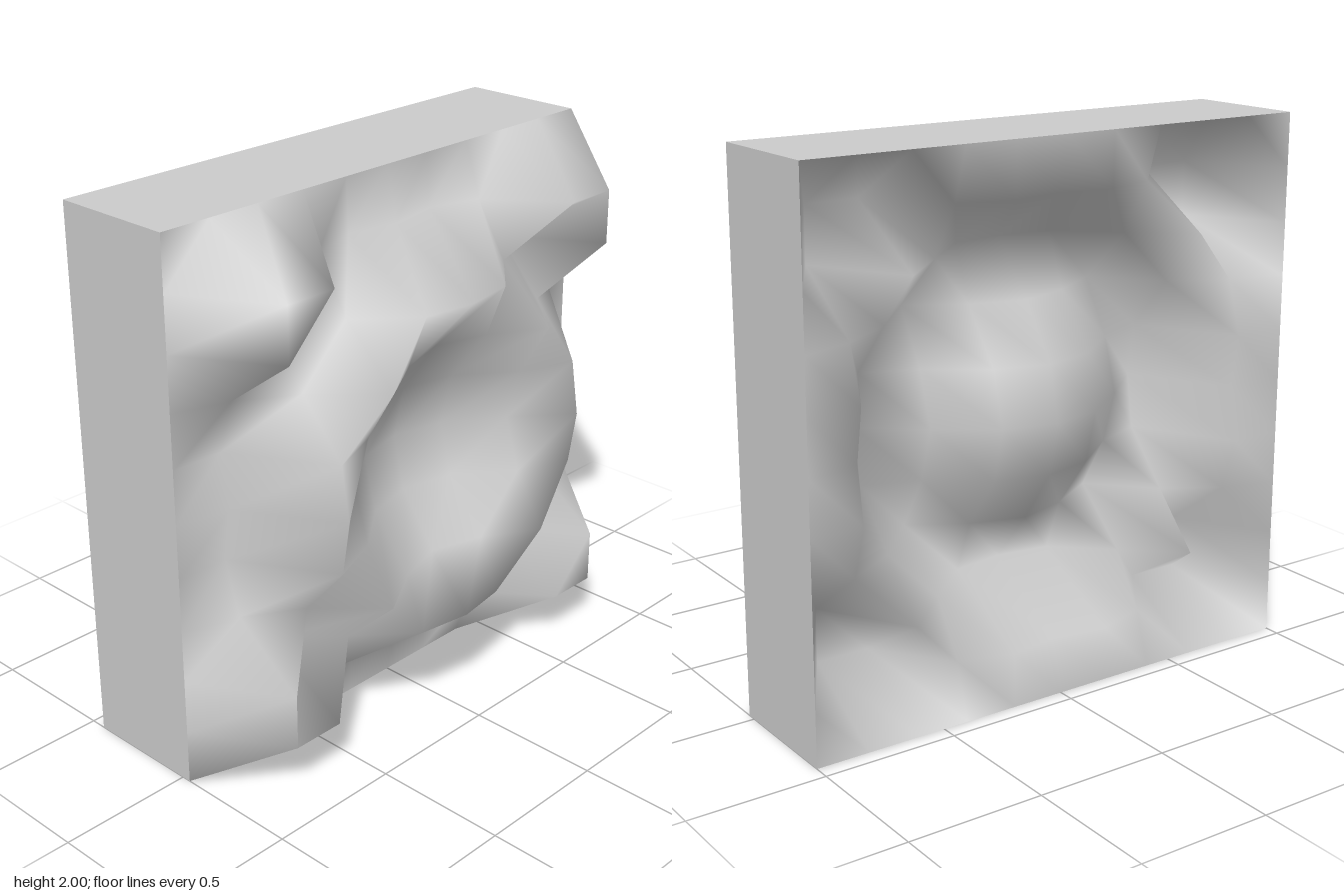
import * as THREE from 'three';

const N = 10;            // cells per side
const CELL = 0.2;
const FRONT_Z = 0.035;   // rim of the front face
const BACK_Z = -0.44;    // rim of the back face

// Ripple relief: [distance from the centre, height above the rim]
const RIPPLE = [
  [0, 0.035], [0.2, 0.08], [0.283, 0.13], [0.4, 0.225], [0.447, 0.285],
  [0.566, 0.405], [0.6, 0.395], [0.632, 0.365], [0.721, 0.188], [0.8, 0.038],
  [0.825, 0.005], [0.849, 0.005], [0.894, 0.065], [1, 0.34], [1.132, 0.34],
];

function rippleHeight(r) {
  for (let k = 1; k < RIPPLE.length; k++) {
    const [r0, h0] = RIPPLE[k - 1];
    const [r1, h1] = RIPPLE[k];
    if (r <= r1) return THREE.MathUtils.mapLinear(r, r0, r1, h0, h1);
  }
  return RIPPLE[RIPPLE.length - 1][1];
}

// Square sheet with the relief; its edge stays flat at the rim
function rippleSheet(rimZ, facesBack) {
  const positions = [];
  const index = [];
  for (let j = 0; j <= N; j++) {
    for (let i = 0; i <= N; i++) {
      const x = (i - N / 2) * CELL;
      const y = (j - N / 2) * CELL;
      const onRim = i === 0 || j === 0 || i === N || j === N;
      const h = onRim ? 0 : rippleHeight(Math.hypot(x, y));
      positions.push(x, y + 1, rimZ + h);
    }
  }
  for (let j = 0; j < N; j++) {
    for (let i = 0; i < N; i++) {
      const a = j * (N + 1) + i;
      const b = a + 1;
      const c = b + N + 1;
      const d = a + N + 1;
      // every cell is split from lower left to upper right
      if (facesBack) index.push(a, c, b, a, d, c);
      else index.push(a, b, c, a, c, d);
    }
  }
  const geometry = new THREE.BufferGeometry();
  geometry.setAttribute('position', new THREE.Float32BufferAttribute(positions, 3));
  geometry.setIndex(index);
  geometry.computeVertexNormals();
  return geometry;
}

export function createModel() {
  const group = new THREE.Group();
  group.name = 'rippledPanel';
  const material = new THREE.MeshStandardMaterial({ color: 0xcccccc });

  const add = (name, geometry) => {
    const mesh = new THREE.Mesh(geometry, material);
    mesh.name = name;
    group.add(mesh);
  };

  // Matching relief on both faces, so the panel keeps its thickness
  add('frontRelief', rippleSheet(FRONT_Z, false));
  add('backRelief', rippleSheet(BACK_Z, true));

  // Four flat edge walls, turned around the panel's axis
  const depth = FRONT_Z - BACK_Z;
  ['topWall', 'leftWall', 'bottomWall', 'rightWall'].forEach((name, k) => {
    const wall = new THREE.PlaneGeometry(2, depth);
    wall.rotateX(-Math.PI / 2);
    wall.translate(0, 1, (FRONT_Z + BACK_Z) / 2);
    wall.rotateZ(-k * Math.PI / 2);
    wall.translate(0, 1, 0);
    add(name, wall);
  });

  return group;
}
